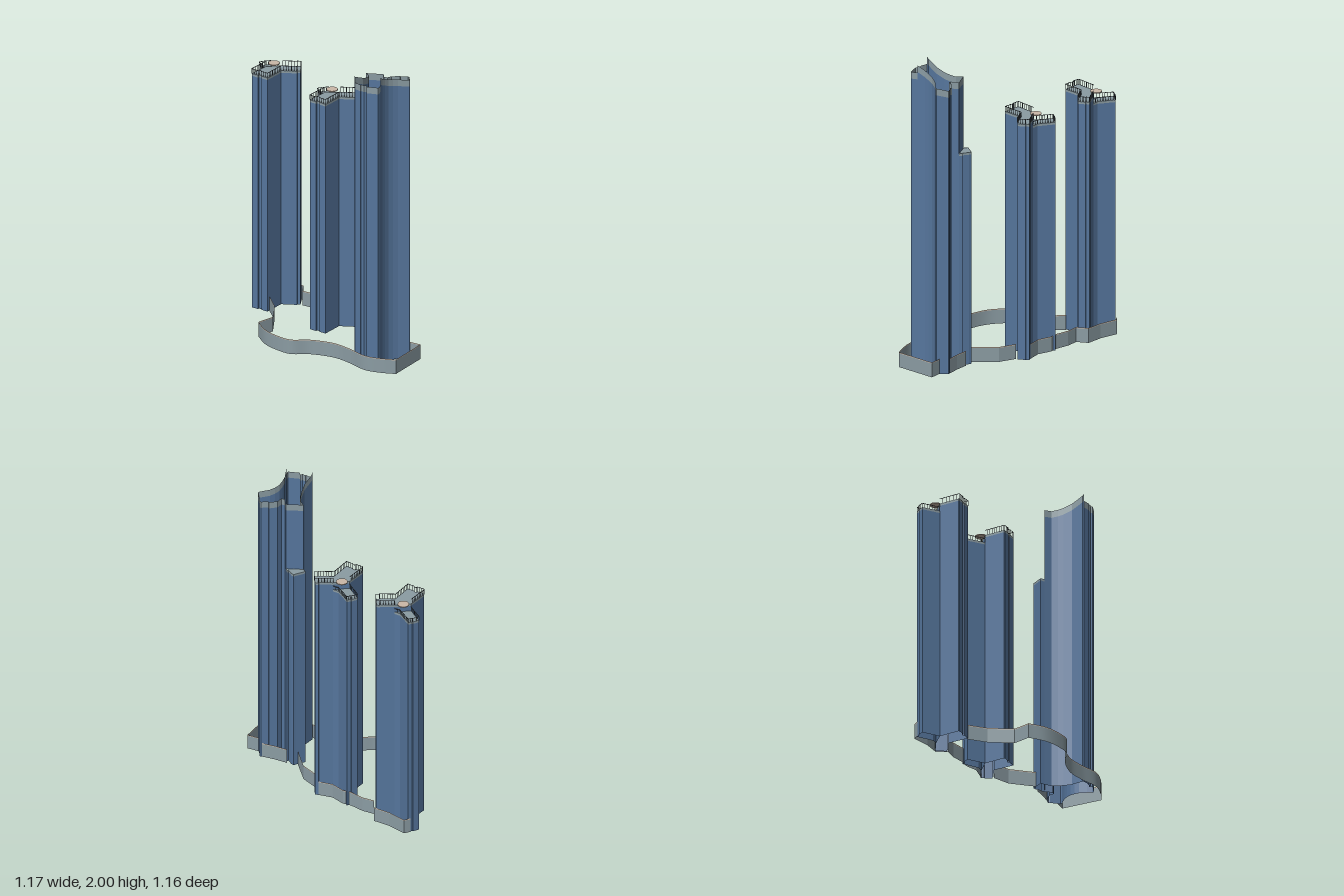
import * as THREE from 'three';
import { mergeGeometries } from 'three/addons/utils/BufferGeometryUtils.js';

const material = (name, color, side = THREE.DoubleSide) => {
  const m = new THREE.MeshStandardMaterial({ color, side });
  m.name = name;
  return m;
};

// Upright ribbon along [x, z] points; bottom and top heights are given per point.
function ribbon(points, low, high, closed = false, smooth = false) {
  const pos = [], index = [], n = points.length;
  points.forEach(([x, z], i) => pos.push(x, low(i), z, x, high(i), z));
  for (let i = 0; i < (closed ? n : n - 1); i++) {
    const a = 2 * i, b = 2 * ((i + 1) % n);
    index.push(a, b, b + 1, a, b + 1, a + 1);
  }
  let g = new THREE.BufferGeometry();
  g.setAttribute('position', new THREE.Float32BufferAttribute(pos, 3));
  g.setIndex(index);
  if (!smooth) g = g.toNonIndexed();
  g.computeVertexNormals();
  return g;
}

const level = (y) => () => y;

function flatRoof(points, y) {
  const shape = new THREE.Shape(points.map(([x, z]) => new THREE.Vector2(x, -z)));
  return new THREE.ShapeGeometry(shape).rotateX(-Math.PI / 2).translate(0, y, 0);
}

// Posts and a top bar along an open path.
function railing(points, y, height) {
  const parts = [], t = 0.003;
  for (let i = 0; i < points.length - 1; i++) {
    const [x0, z0] = points[i], [x1, z1] = points[i + 1];
    const dx = x1 - x0, dz = z1 - z0, len = Math.hypot(dx, dz);
    parts.push(new THREE.BoxGeometry(len, t, t).rotateY(-Math.atan2(dz, dx))
      .translate((x0 + x1) / 2, y + height - t / 2, (z0 + z1) / 2));
    const count = Math.max(1, Math.round(len / 0.018));
    for (let k = 0; k < count; k++) {
      const f = k / count;
      parts.push(new THREE.BoxGeometry(t, height, t).translate(x0 + dx * f, y + height / 2, z0 + dz * f));
    }
  }
  return mergeGeometries(parts);
}

// Three-winged tower: the first and last points of each outline lie on the shared cut.
const mainOutline = [
  [-0.41, -0.444], [-0.32, -0.449], [-0.318, -0.453], [-0.295, -0.452], [-0.294, -0.43],
  [-0.29, -0.428], [-0.287, -0.378], [-0.308, -0.377], [-0.31, -0.37], [-0.41, -0.366],
  [-0.478, -0.242], [-0.52, -0.264], [-0.522, -0.275], [-0.536, -0.28], [-0.542, -0.272],
  [-0.583, -0.293], [-0.586, -0.3], [-0.5125, -0.419],
];
const backOutline = [
  [-0.5125, -0.419], [-0.572, -0.528], [-0.535, -0.551], [-0.53, -0.549], [-0.506, -0.5625],
  [-0.5, -0.55], [-0.447, -0.4625], [-0.41, -0.444],
];

// Tall curved tower
const tallOutline = [
  [0.219, 0.225], [0.244, 0.269], [0.243, 0.31], [0.24, 0.344], [0.225, 0.397], [0.203, 0.432], [0.181, 0.466],
  [0.184, 0.475], [0.184, 0.475], [0.225, 0.505], [0.228, 0.5], [0.247, 0.513], [0.2625, 0.506],
  [0.266, 0.527], [0.34, 0.535], [0.347, 0.522], [0.348, 0.49],
  [0.348, 0.49], [0.353, 0.44], [0.366, 0.412], [0.384, 0.384], [0.41, 0.363], [0.44, 0.347], [0.506, 0.328], [0.5125, 0.32],
  [0.495, 0.255], [0.497, 0.245], [0.4875, 0.24], [0.441, 0.249], [0.4375, 0.2375], [0.384, 0.253],
  [0.3625, 0.281], [0.34, 0.275], [0.334, 0.244], [0.33, 0.225],
];
const END_FIRST = 8, END_LAST = 16;
const lowOutline = [
  [0.219, 0.225], [0.203, 0.2], [0.2625, 0.165], [0.275, 0.156], [0.29, 0.169],
  [0.3125, 0.205], [0.321, 0.203], [0.33, 0.225],
];

// Podium wall stretches between the towers
const frontCurve = [
  [0.46, 0.58], [0.36, 0.575], [0.26, 0.55], [0.15, 0.46], [0.04, 0.39], [-0.12, 0.36],
  [-0.24, 0.375], [-0.33, 0.33], [-0.42, 0.25], [-0.48, 0.14],
];
const straightWalls = [
  [[0.46, 0.58], [0.58, 0.33], [0.505, 0.3]],
  [[-0.48, 0.14], [-0.4, 0.05], [-0.415, -0.12], [-0.465, -0.25]],
  [[0.48, 0.24], [0.4, 0.215], [0.32, 0.18]],
  [[0.25, 0.17], [0.2, 0], [0.118, -0.09]],
  [[0.115, -0.17], [0, -0.2], [-0.07, -0.265], [-0.125, -0.285], [-0.2, -0.34], [-0.275, -0.37],
    [-0.28, -0.45], [-0.38, -0.5], [-0.48, -0.58], [-0.52, -0.56]],
];

export function createModel() {
  const glass = material('blue glass', 0x56769d);
  const stone = material('grey cladding', 0x8b9ca3);
  const tan = material('tan trim', 0xcbb9a8);
  const metal = material('dark railing', 0x4d565c, THREE.FrontSide);

  const model = new THREE.Group();
  const add = (parent, name, geometry, mat) => {
    const mesh = new THREE.Mesh(geometry, mat);
    mesh.name = name;
    parent.add(mesh);
    return mesh;
  };

  // Glass walls, thin parapet band, roof and railing of one block
  function block(parent, name, outline, roofY, railHeight) {
    add(parent, name + 'Walls', ribbon(outline, level(0), level(roofY - 0.015), true), glass);
    add(parent, name + 'Parapet', ribbon(outline, level(roofY - 0.015), level(roofY), true), stone);
    add(parent, name + 'Roof', flatRoof(outline, roofY - 0.002), stone);
    if (railHeight) add(parent, name + 'Railing', railing(outline, roofY, railHeight), metal);
  }

  // Twin towers
  [['rearTower', 0, 0, 1.615], ['middleTower', 0.41, 0.277, 1.585]].forEach(([name, x, z, roofY]) => {
    const tower = new THREE.Group();
    tower.name = name;
    tower.position.set(x, 0, z);
    block(tower, 'mainWings', mainOutline, roofY, 0.035);
    block(tower, 'backWing', backOutline, roofY - 0.05, 0.028);
    add(tower, 'roofDisc', new THREE.CylinderGeometry(0.036, 0.036, 0.006, 32)
      .translate(-0.466, roofY + 0.012, -0.447), tan);
    model.add(tower);
  });

  // Tall tower with an open crown sweeping up towards its front wing
  const tall = new THREE.Group();
  tall.name = 'tallTower';
  const crownTop = (i) => {
    if (i >= END_FIRST && i <= END_LAST) return 1.95;
    if (i === END_FIRST - 1 || i === END_LAST + 1) return 2;
    const t = Math.max(0, (tallOutline[i][1] - 0.24) / 0.25);
    return 1.905 + 0.095 * Math.pow(t, 1.6);
  };
  const crownBase = (i) => crownTop(i) - 0.045;
  add(tall, 'tallWalls', ribbon(tallOutline, level(0), crownBase, true), glass);
  add(tall, 'crown', ribbon(tallOutline, crownBase, crownTop, true), stone);
  block(tall, 'lowWing', lowOutline, 1.425, 0);
  model.add(tall);

  // Podium wall with a tan rim
  const podium = new THREE.Group();
  podium.name = 'podium';
  const curve = new THREE.CatmullRomCurve3(frontCurve.map(([x, z]) => new THREE.Vector3(x, 0, z)));
  const smoothPath = curve.getPoints(60).map((p) => [p.x, p.z]);
  const addWall = (path, smooth) => {
    add(podium, 'podiumWall', ribbon(path, level(0), level(0.093), false, smooth), stone);
    add(podium, 'podiumRim', ribbon(path, level(0.093), level(0.1), false, smooth), tan);
  };
  addWall(smoothPath, true);
  straightWalls.forEach((path) => addWall(path, false));
  model.add(podium);

  return model;
}
